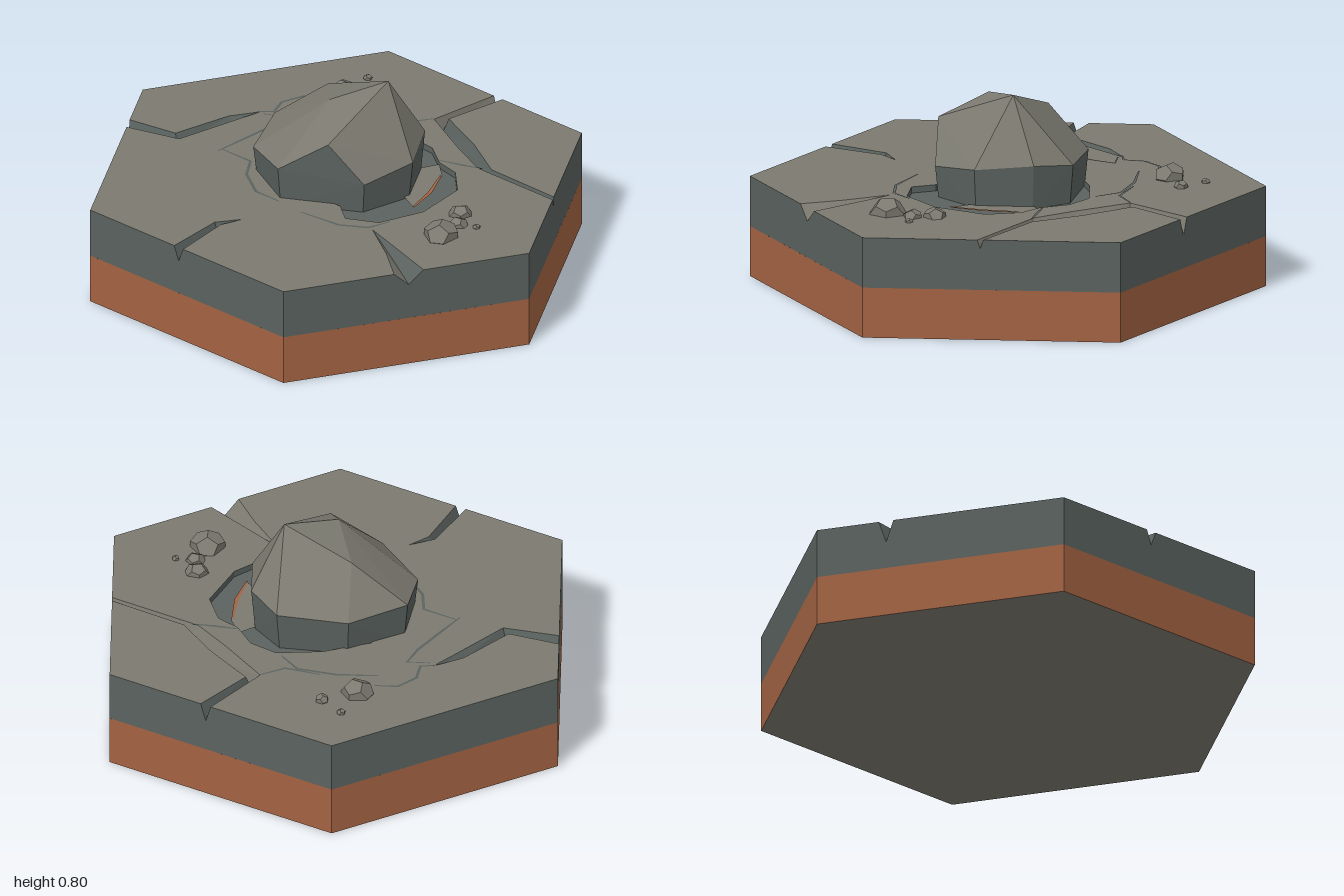
import * as THREE from 'three';
import { ConvexGeometry } from 'three/addons/geometries/ConvexGeometry.js';

const TOP = 0.4, MID = 0.2;
const make = (name, color) => {
  const m = new THREE.MeshStandardMaterial({ color, flatShading: true, side: THREE.DoubleSide });
  m.name = name;
  return m;
};

// Faceted band between two polylines of equal length
function strip(p, q) {
  const v = [];
  for (let i = 0; i < p.length - 1; i++)
    v.push(...p[i], ...q[i], ...q[i + 1], ...p[i], ...q[i + 1], ...p[i + 1]);
  const g = new THREE.BufferGeometry();
  g.setAttribute('position', new THREE.Float32BufferAttribute(v, 3));
  g.computeVertexNormals();
  return g;
}

// Flat upward-facing plate from [x, z] points
function plate(points, y, hole) {
  const v2 = (a) => a.map(([x, z]) => new THREE.Vector2(x, -z));
  const s = new THREE.Shape(v2(points));
  if (hole) s.holes.push(new THREE.Path(v2(hole)));
  return new THREE.ShapeGeometry(s).rotateX(-Math.PI / 2).translate(0, y, 0);
}

// Thin flat line that follows a path and narrows at both ends
function ribbon(path, width, y) {
  const a = [], b = [];
  path.forEach(([x, z], i) => {
    const p = path[Math.max(i - 1, 0)], n = path[Math.min(i + 1, path.length - 1)];
    const dx = n[0] - p[0], dz = n[1] - p[1], l = Math.hypot(dx, dz);
    const w = (i === 0 || i === path.length - 1 ? 0.25 : 0.5) * width;
    a.push([x - dz / l * w, y, z + dx / l * w]);
    b.push([x + dz / l * w, y, z - dx / l * w]);
  });
  return strip(a, b);
}

export function createModel() {
  const root = new THREE.Group();
  root.name = 'rockTile';
  const stone = make('warmStone', 0x7c7a70);
  const slate = make('darkSlate', 0x5a625f);
  const earth = make('brownEarth', 0xa36343);
  const add = (name, geo, mat, parent = root) => {
    const m = new THREE.Mesh(geo, mat);
    m.name = name;
    parent.add(m);
    return m;
  };

  // Cracks as rows of [first lip x, z, second lip x, z, depth], from the tile edge inwards
  const rightCrack = [[0.785, 0.372, 0.725, 0.476, 0.055], [0.6, 0.315, 0.59, 0.37, 0.03], [0.42, 0.26, 0.42, 0.26, 0]];
  const frontCrack = [[-0.02, 0.866, -0.065, 0.866, 0.06], [-0.045, 0.62, -0.075, 0.62, 0.04], [-0.01, 0.53, -0.01, 0.53, 0]];
  const leftCrack = [[-0.845, 0.268, -0.875, 0.2165, 0.09], [-0.63, 0.205, -0.67, 0.18, 0.05],
    [-0.57, -0.05, -0.61, -0.06, 0.03], [-0.54, -0.17, -0.54, -0.17, 0]];
  const backCrack = [[0.045, -0.866, 0.09, -0.866, 0.07], [0, -0.57, 0.04, -0.61, 0.07], [0.22, -0.46, 0.25, -0.52, 0.06],
    [0.39, -0.385, 0.44, -0.41, 0.04], [0.778, -0.385, 0.766, -0.405, 0.035]];
  const lipA = (c) => c.map((r) => [r[0], r[1]]);
  const lipB = (c) => c.map((r) => [r[2], r[3]]);
  const valley = (c) => c.map((r) => [(r[0] + r[2]) / 2, TOP - r[4], (r[1] + r[3]) / 2]);
  const at = (pts, y) => pts.map(([x, z]) => [x, y, z]);
  const notch = (c) => [...lipA(c), ...lipB(c).slice(0, -1).reverse()];

  // Top plates, with the cracks and the crater left open
  const crater = [[0.03, -0.4], [0.15, -0.39], [0.25, -0.32], [0.35, -0.3], [0.45, -0.2], [0.47, 0.02], [0.4, 0.2],
    [0.28, 0.26], [0.2, 0.2], [0, 0.2], [-0.2, 0.1], [-0.25, -0.15], [-0.12, -0.3]];
  const h = 0.866;
  add('mainTop', plate([[1, 0], ...notch(rightCrack), [0.5, h], ...notch(frontCrack), [-0.5, h],
    ...notch(leftCrack), [-1, 0], [-0.5, -h], ...lipA(backCrack)], TOP, crater), stone);
  add('backCornerTop', plate([[0.5, -h], ...lipB(backCrack).reverse()], TOP), stone);

  // Sloping crack walls
  [['rightCrack', rightCrack, slate, stone], ['frontCrack', frontCrack, slate, slate],
    ['leftCrack', leftCrack, slate, slate], ['backCrack', backCrack, stone, slate]].forEach(([name, c, ma, mb]) => {
    add(name + 'FirstWall', strip(at(lipA(c), TOP), valley(c)), ma);
    add(name + 'SecondWall', strip(valley(c), at(lipB(c), TOP)), mb);
  });

  // Slate side band, dipping into each crack mouth
  const mouth = (c, i = 0) => [[c[i][0], TOP, c[i][1]], valley(c)[i], [c[i][2], TOP, c[i][3]]];
  const rim = [[1, TOP, 0], ...mouth(rightCrack), [0.5, TOP, h], ...mouth(frontCrack), [-0.5, TOP, h],
    ...mouth(leftCrack), [-1, TOP, 0], [-0.5, TOP, -h], ...mouth(backCrack), [0.5, TOP, -h],
    ...mouth(backCrack, 4).reverse(), [1, TOP, 0]];
  add('slateBand', strip(rim.map(([x, , z]) => [x, MID, z]), rim), slate);

  // Earth layer and underside
  add('earthLayer', new THREE.CylinderGeometry(1, 1, MID, 6, 1, true, Math.PI / 2).translate(0, MID / 2, 0), earth);
  add('underside', new THREE.CircleGeometry(1, 6).rotateX(Math.PI / 2), stone);

  // Shallow crater
  const loop = [...crater, crater[0]];
  add('craterWall', strip(at(loop, 0.375), at(loop, TOP)), slate);
  add('craterFloor', plate(crater, 0.375), slate);
  add('craterShard', plate([[0.24, -0.33], [0.31, -0.27], [0.37, -0.13], [0.4, 0], [0.3, -0.05], [0.2, -0.25]], 0.385), stone);
  add('earthSlit', ribbon([[0.31, -0.26], [0.37, -0.13], [0.4, 0]], 0.016, 0.388), earth);

  // Fine broken seams around the crater
  [[[-0.42, -0.41], [-0.5, -0.37], [-0.53, -0.28], [-0.5, -0.2], [-0.55, -0.16]],
    [[-0.52, -0.16], [-0.44, -0.2], [-0.43, -0.1], [-0.44, 0.05], [-0.45, 0.18]],
    [[-0.45, 0.16], [-0.3, 0.16], [-0.24, 0.25], [-0.12, 0.33], [0, 0.33]],
    [[0.12, 0.34], [0.3, 0.32], [0.4, 0.26], [0.43, 0.17]],
    [[-0.4, -0.34], [-0.25, -0.42], [-0.1, -0.46], [0, -0.41]],
    [[0, -0.57], [-0.06, -0.48], [-0.2, -0.45]],
    [[0.24, -0.33], [0.33, -0.36], [0.41, -0.39]],
  ].forEach((path) => add('seam', ribbon(path, 0.012, TOP + 0.002), slate));

  // Boulder: convex rock, warm on its upward faces and slate on the steep ones
  const ring = [[-0.335, 0.53, -0.02], [-0.25, 0.5, 0.2], [-0.02, 0.53, 0.315], [0.28, 0.5, 0.15],
    [0.335, 0.53, -0.07], [0.22, 0.55, -0.27], [0.06, 0.53, -0.345], [-0.2, 0.52, -0.24]];
  const crown = [[0.155, 0.8, -0.13], [0.03, 0.755, 0.07], [-0.13, 0.7, -0.1], [0.155, 0.66, 0.22]];
  const base = ring.map(([x, , z]) => [x * 0.95, 0.36, z * 0.95]);
  const rock = new ConvexGeometry([...ring, ...crown, ...base].map((p) => new THREE.Vector3(...p)));
  const normal = rock.attributes.normal;
  for (let i = 0; i < normal.count; i += 3) rock.addGroup(i, 3, normal.getY(i) > 0.2 ? 0 : 1);
  add('boulder', rock, [stone, slate]);

  // Pebbles: [x, z, radius, top height above the ground]
  [[-0.39, -0.49, 0.065, 0.057], [-0.41, -0.645, 0.018, 0.018], [-0.3, -0.605, 0.028, 0.027], [0.59, -0.06, 0.047, 0.037],
    [0.65, 0.12, 0.073, 0.06], [0.64, 0.01, 0.04, 0.03], [0.71, -0.02, 0.016, 0.015]].forEach(([x, z, r, top], i) => {
    const p = add('pebble', new THREE.DodecahedronGeometry(r), stone);
    p.rotation.y = i * 1.3;
    p.scale.y = 0.85;
    p.position.set(x, TOP + top - r * 0.8, z);
  });
  return root;
}
